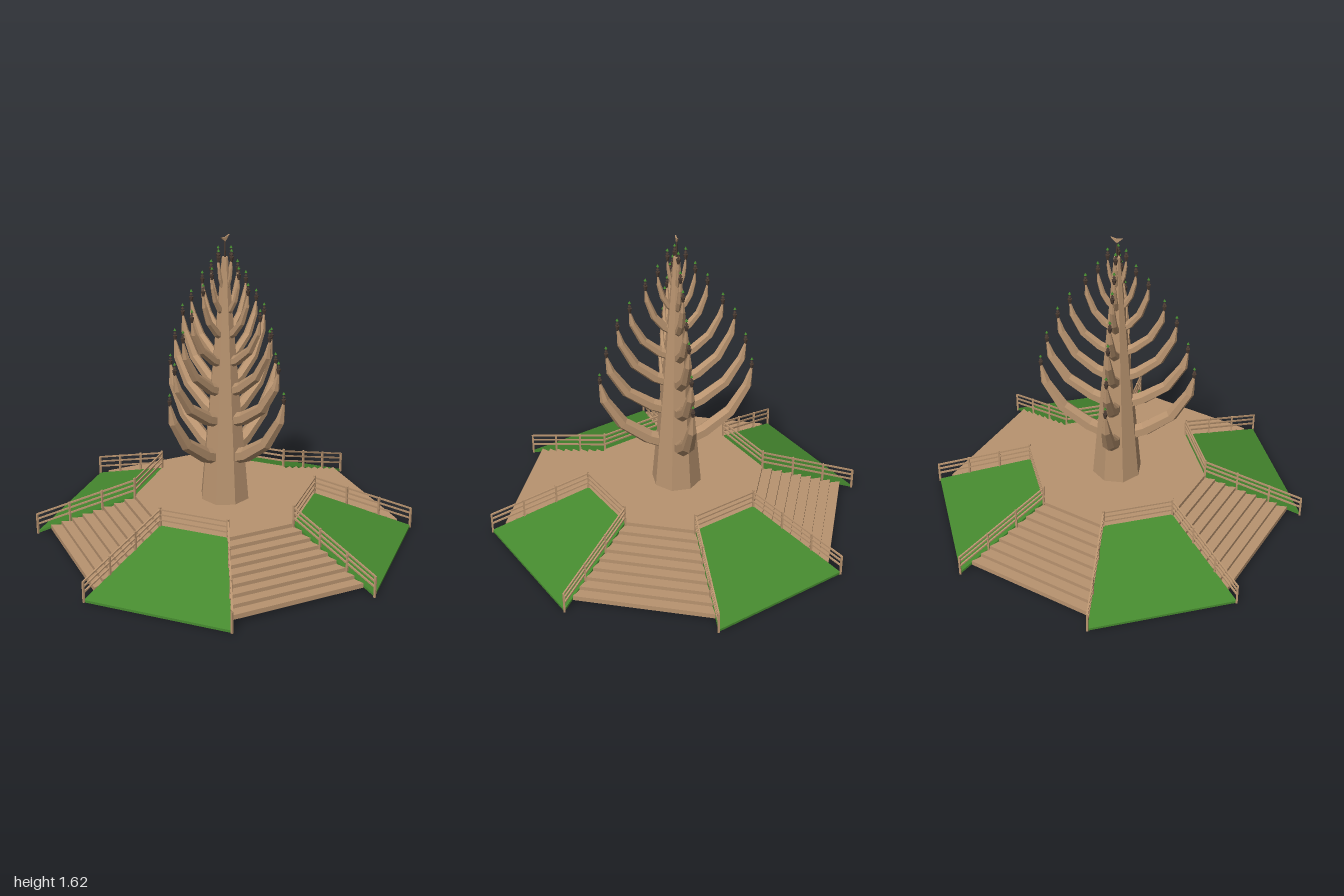
import * as THREE from 'three';

const mat = (name, color, extra = {}) =>
  Object.assign(new THREE.MeshStandardMaterial({ color, flatShading: true, ...extra }), { name });
const V = (x, y, z) => new THREE.Vector3(x, y, z);
const polar = (r, k, y) => V(r * Math.cos(k * Math.PI / 4), y, r * Math.sin(k * Math.PI / 4));

// tube with a six-sided section along a path in the xy plane, closed at both ends
function limbGeometry(path, radii, widths, n = 6) {
  const pos = [], idx = [];
  path.forEach((p, i) => {
    const t = path[Math.min(i + 1, path.length - 1)].clone().sub(path[Math.max(i - 1, 0)]).normalize();
    for (let j = 0; j < n; j++) {
      const a = j / n * Math.PI * 2, c = Math.cos(a) * radii[i], s = Math.sin(a) * widths[i];
      pos.push(p.x - t.y * c, p.y + t.x * c, s);
    }
  });
  for (let i = 0; i < path.length - 1; i++)
    for (let j = 0; j < n; j++) {
      const a = i * n + j, b = i * n + (j + 1) % n;
      idx.push(a, b, a + n, b, b + n, a + n);
    }
  const last = (path.length - 1) * n;
  for (let j = 1; j < n - 1; j++) idx.push(0, j + 1, j, last, last + j, last + j + 1);
  const g = new THREE.BufferGeometry();
  g.setAttribute('position', new THREE.Float32BufferAttribute(pos, 3));
  g.setIndex(idx);
  g.computeVertexNormals();
  return g;
}

// four-cornered slab: corners listed counter-clockwise seen from above
function slabGeometry(corners, thick) {
  const pos = [];
  for (const d of [0, thick]) corners.forEach(c => pos.push(c.x, c.y - d, c.z));
  const idx = [0, 1, 2, 0, 2, 3, 4, 6, 5, 4, 7, 6];
  for (let i = 0; i < 4; i++) {
    const j = (i + 1) % 4;
    idx.push(i, i + 4, j, j, i + 4, j + 4);
  }
  const g = new THREE.BufferGeometry();
  g.setAttribute('position', new THREE.Float32BufferAttribute(pos, 3));
  g.setIndex(idx);
  g.computeVertexNormals();
  return g;
}

export function createModel() {
  const wood = mat('wood', 0xb8936f);
  const grass = mat('grass green', 0x468a2f);
  const dark = mat('dark bronze', 0x4a3b32);
  const model = new THREE.Group();
  model.name = 'treeMonument';

  const add = (parent, name, geo, m, x = 0, y = 0, z = 0) => {
    const mesh = new THREE.Mesh(geo, m);
    mesh.name = name;
    mesh.position.set(x, y, z);
    parent.add(mesh);
    return mesh;
  };
  const group = name => {
    const g = new THREE.Group();
    g.name = name;
    model.add(g);
    return g;
  };
  // square bar between two points
  const bar = (parent, name, a, b, w) => {
    const m = add(parent, name, new THREE.BoxGeometry(w, w, a.distanceTo(b)), wood);
    m.position.copy(a).lerp(b, 0.5);
    m.lookAt(b);
  };

  const R_IN = 0.475, R_STEP = 0.925, R_OUT = 0.995, Y0 = 0.03, Y1 = 0.215, Y_EDGE = 0.014;

  // octagonal deck and foundation
  const deck = (name, r, y0, y1) =>
    add(model, name, new THREE.CylinderGeometry(r, r, y1 - y0, 8), wood, 0, (y0 + y1) / 2, 0);
  deck('foundation', R_STEP, Y0 - 0.005, Y0 + 0.004);
  deck('deck', R_IN, Y0, Y1);

  // alternating stair flights and grass banks
  const STEPS = 8, rise = (Y1 - Y0) / (STEPS + 1), tread = (R_STEP - R_IN) / STEPS;
  for (let k = 0; k < 8; k++) {
    if (k % 2 === 0) {
      const stairs = group('stairs');
      for (let i = 0; i < STEPS; i++) {
        const r = R_STEP - tread * i, y = Y0 + rise * (i + 1);
        add(stairs, 'step', slabGeometry([
          polar(r, k, y), polar(R_IN - 0.05, k, y), polar(R_IN - 0.05, k + 1, y), polar(r, k + 1, y),
        ], rise), wood);
      }
      continue;
    }
    add(model, 'grassBank', slabGeometry([
      polar(R_OUT, k, Y_EDGE), polar(R_IN, k, Y1), polar(R_IN, k + 1, Y1), polar(R_OUT, k + 1, Y_EDGE),
    ], 0.013), grass);

    // railing down both sides and across the top of the bank
    const railing = group('railing');
    for (const h of [0.032, 0.062, 0.09]) {
      for (const e of [k, k + 1])
        bar(railing, 'slopingRail', polar(R_IN, e, Y1 + h), polar(R_OUT, e, Y_EDGE + h + 0.01), 0.008);
      bar(railing, 'topRail', polar(R_IN, k, Y1 + h), polar(R_IN, k + 1, Y1 + h), 0.008);
    }
    for (const e of [k, k + 1])
      for (const t of [0, 1 / 3, 2 / 3, 1]) {
        const p = polar(R_IN + (R_OUT - R_IN) * t, e, Y1 + (Y_EDGE - Y1) * t);
        bar(railing, 'post', V(p.x, Math.max(p.y - 0.02, 0), p.z), V(p.x, p.y + 0.102, p.z), 0.01);
      }
  }

  // tapered eight-sided trunk
  const trunk = new THREE.CylinderGeometry(0.016, 0.132, 1.3, 8);
  trunk.rotateY(Math.PI / 8);
  add(model, 'trunk', trunk, wood, 0, Y1 + 0.65, 0);

  // branch levels: [root height, tip distance, tip height]
  const levels = [
    [0.47, 0.395, 0.85], [0.67, 0.358, 1.0], [0.83, 0.298, 1.15], [0.98, 0.235, 1.24],
    [1.12, 0.155, 1.355], [1.24, 0.093, 1.425], [1.36, 0.045, 1.505],
  ];
  for (let side = 0; side < 4; side++) {
    const branches = group('branches');
    branches.rotation.y = side * Math.PI / 2;
    levels.forEach(([y0, x, y1], i) => {
      const h = y1 - y0, s = 1 - i * 0.115;
      const root = 0.09 * (1 - i / 7);
      const path = [
        V(root * 0.5, y0 - 0.02 * s, 0), V(root + (x - root) * 0.2, y0 + h * 0.07, 0),
        V(root + (x - root) * 0.64, y0 + h * 0.34, 0),
        V(x * 0.945, y0 + h * 0.73, 0), V(x, y1, 0),
      ];
      const radii = [0.042, 0.04, 0.034, 0.026, 0.006].map(r => r * s);
      const widths = [0.036, 0.036, 0.034, 0.025, 0.006].map(r => r * s);
      add(branches, 'branch', limbGeometry(path, radii, widths), wood);

      // small lamp with a green sprig on each tip
      add(branches, 'lampCup', new THREE.CylinderGeometry(0.012, 0.006, 0.026, 6), dark, x, y1 + 0.006, 0);
      add(branches, 'lampStem', new THREE.CylinderGeometry(0.003, 0.003, 0.034, 5), dark, x, y1 + 0.034, 0);
      add(branches, 'lampCap', new THREE.ConeGeometry(0.009, 0.012, 6), dark, x, y1 + 0.036, 0);
      add(branches, 'sprig', new THREE.ConeGeometry(0.008, 0.014, 5), grass, x, y1 + 0.053, 0);
    });
  }

  // finial pole with a flat winged vane
  add(model, 'finialPole', new THREE.CylinderGeometry(0.003, 0.006, 0.12, 6), dark, 0, 1.545, 0);
  const wing = new THREE.Shape([[-0.028, 1.617], [0, 1.592], [0.012, 1.603], [0.031, 1.624], [0, 1.614]]
    .map(p => new THREE.Vector2(...p)));
  add(model, 'vane', new THREE.ExtrudeGeometry(wing, { depth: 0.006, bevelEnabled: false }), wood, 0, 0, -0.003);
  return model;
}
